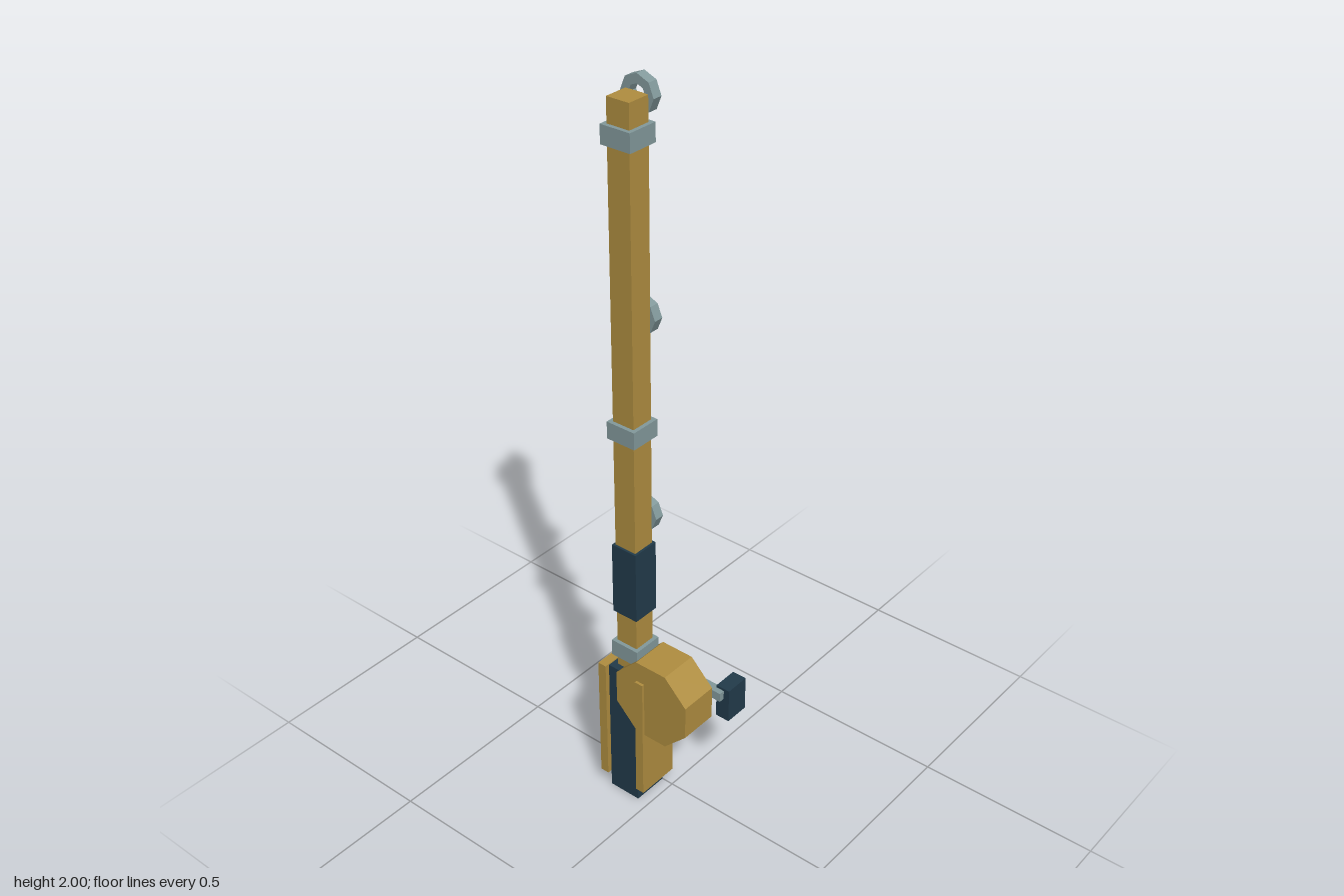
import * as THREE from 'three';

export function createModel() {
  const model = new THREE.Group();
  model.name = 'fishingRod';

  const mat = (name, color) => {
    const m = new THREE.MeshStandardMaterial({ color });
    m.name = name;
    return m;
  };
  const wood = mat('goldenWood', 0xb08e40);
  const navy = mat('darkNavy', 0x223b4b);
  const steel = mat('greySteel', 0x839a9c);

  const add = (name, geometry, material, x, y, z) => {
    const mesh = new THREE.Mesh(geometry, material);
    mesh.name = name;
    mesh.position.set(x, y, z);
    model.add(mesh);
    return mesh;
  };
  const box = (name, material, w, h, d, x, y, z) =>
    add(name, new THREE.BoxGeometry(w, h, d), material, x, y, z);

  // Flat-sided octagonal drum with its axis along z
  const drum = (name, material, apothem, depth, x, y, z) => {
    const r = apothem / Math.cos(Math.PI / 8);
    const g = new THREE.CylinderGeometry(r, r, depth, 8, 1, false, Math.PI / 8)
      .rotateX(Math.PI / 2).toNonIndexed();
    g.computeVertexNormals();
    return add(name, g, material, x, y, z);
  };

  const X = -0.081, Z = 0.051; // rod axis

  // Pole, foregrip and handle
  box('pole', wood, 0.064, 1.56, 0.064, X, 1.18, Z);
  box('foregrip', navy, 0.077, 0.205, 0.077, X, 0.693, Z);
  box('handle', navy, 0.094, 0.415, 0.102, X, 0.2075, Z);
  for (const s of [-1, 1])
    box('handlePlate', wood, 0.025, 0.37, 0.123, X + s * 0.062, 0.23, Z);

  // Metal bands round the pole
  for (const y of [0.472, 1.13, 1.875])
    box('band', steel, 0.085, 0.047, 0.085, X, y, Z);

  // Octagonal line guides on the back of the pole
  const octagon = (Path, r) => new Path().setFromPoints(
    Array.from({ length: 8 }, (_, i) => new THREE.Vector2(
      r * Math.cos(i * Math.PI / 4), r * Math.sin(i * Math.PI / 4))));
  const ring = octagon(THREE.Shape, 0.047);
  ring.holes.push(octagon(THREE.Path, 0.024));
  const ringGeometry = new THREE.ExtrudeGeometry(ring, { depth: 0.026, bevelEnabled: false });
  for (const y of [0.87, 1.42, 1.953])
    add('lineGuide', ringGeometry, steel, X, y, -0.006);

  // Reel with hub and crank
  drum('reel', wood, 0.115, 0.108, 0.015, 0.36, 0.051);
  drum('reelHub', navy, 0.044, 0.021, 0.015, 0.36, -0.0125);
  box('crankArm', steel, 0.102, 0.026, 0.026, 0.085, 0.36, -0.042);
  box('crankKnob', navy, 0.041, 0.1, 0.07, 0.1325, 0.33, -0.08);

  return model;
}
